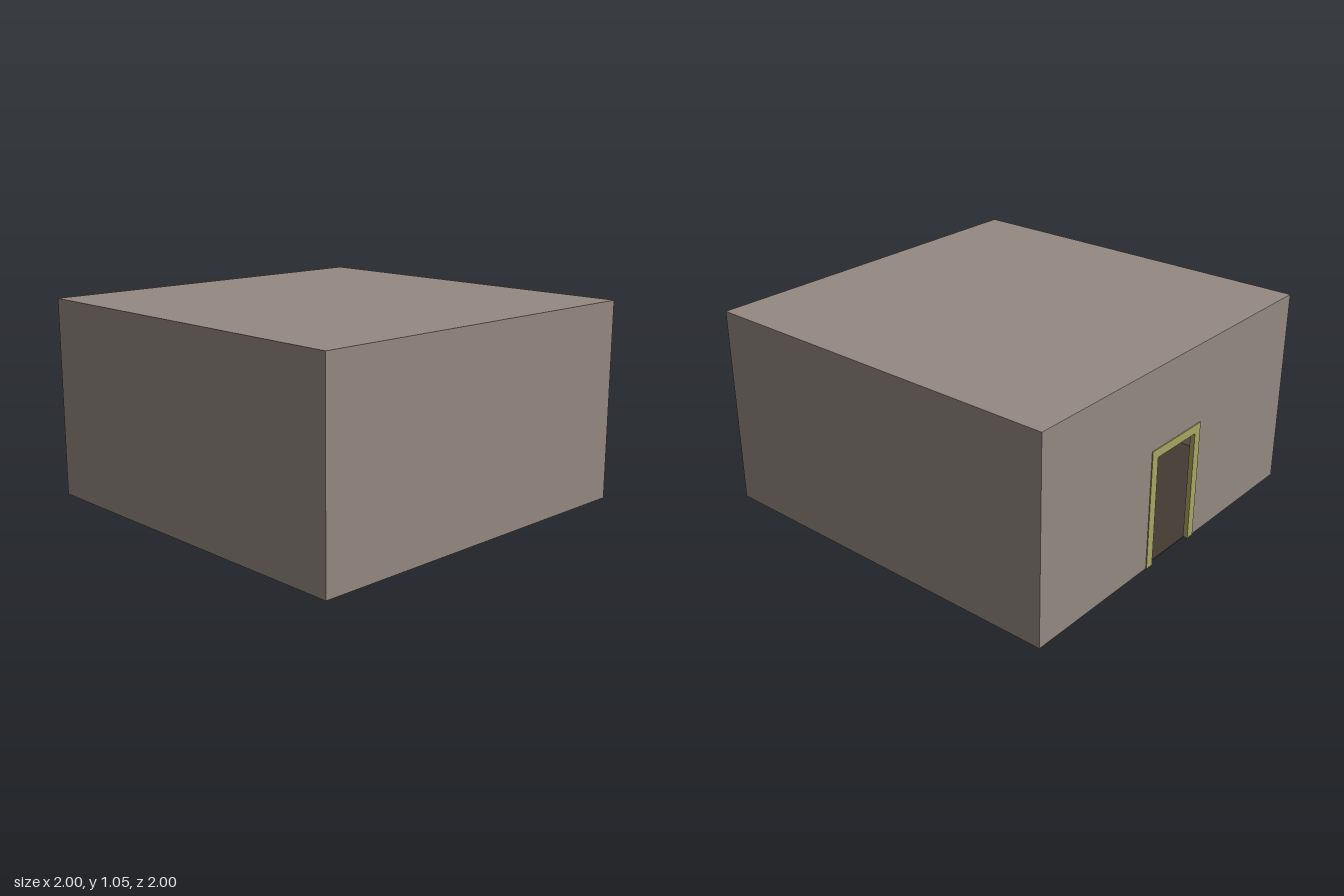
import * as THREE from 'three';

const stone = new THREE.MeshStandardMaterial({ color: 0x968a82 });
const dark = new THREE.MeshStandardMaterial({ color: 0x443a34 });
const wood = new THREE.MeshStandardMaterial({ color: 0x7d675b });
const olive = new THREE.MeshStandardMaterial({ color: 0xaaa764 });

const BASE = 0.005, TOP = 1.05, T = 0.015; // floor underside, wall top, wall thickness

// Box given by its two opposite corners
function box(name, material, [x0, y0, z0], [x1, y1, z1]) {
  const mesh = new THREE.Mesh(new THREE.BoxGeometry(x1 - x0, y1 - y0, z1 - z0), material);
  mesh.name = name;
  mesh.position.set((x0 + x1) / 2, (y0 + y1) / 2, (z0 + z1) / 2);
  return mesh;
}

// Six-sided coffin, head end towards +z before turning
function coffin(name, x, z, turn) {
  const half = [[0.085, -0.385], [0.165, 0.115], [0.13, 0.385]]; // foot, shoulder, head
  const outline = [
    ...half.map(([w, l]) => new THREE.Vector2(w, -l)),
    ...half.slice().reverse().map(([w, l]) => new THREE.Vector2(-w, -l)),
  ];
  const geometry = new THREE.ExtrudeGeometry(new THREE.Shape(outline), { depth: 0.14, bevelEnabled: false });
  geometry.rotateX(-Math.PI / 2);
  const mesh = new THREE.Mesh(geometry, wood);
  mesh.name = name;
  mesh.position.set(x, 0, z);
  mesh.rotation.y = turn;
  return mesh;
}

export function createModel() {
  const room = new THREE.Group();
  room.name = 'room';

  // Floor, roof and the three closed walls
  room.add(box('floor', dark, [-0.985, BASE, -0.98], [0.985, BASE + 0.005, 0.985]));
  room.add(box('roof', stone, [-0.985, TOP - T, -0.98], [0.985, TOP, 0.985]));
  room.add(box('frontWall', stone, [-1, BASE, 1 - T], [1, TOP, 1]));
  for (const s of [-1, 1]) {
    const wall = box(s > 0 ? 'leftWall' : 'rightWall', stone, [-T / 2, BASE, -0.995], [T / 2, TOP, 1 - T]);
    wall.position.x = s * (1 - T / 2);
    room.add(wall);
  }

  // Back wall with the doorway cut out
  const outline = [
    [-0.985, BASE], [-0.16, BASE], [-0.16, 0.59], [0.16, 0.59],
    [0.16, BASE], [0.985, BASE], [0.985, TOP], [-0.985, TOP],
  ].map(([x, y]) => new THREE.Vector2(x, y));
  const backWall = new THREE.Mesh(
    new THREE.ExtrudeGeometry(new THREE.Shape(outline), { depth: T, bevelEnabled: false }), stone);
  backWall.name = 'backWall';
  backWall.position.z = -0.995;
  room.add(backWall);

  // Door frame, slightly proud of both sides of the wall
  const frame = new THREE.Group();
  frame.name = 'doorFrame';
  for (const s of [-1, 1]) {
    const post = box('doorPost', olive, [-0.0225, BASE, -1], [0.0225, 0.59, -0.975]);
    post.position.x = s * 0.1775;
    frame.add(post);
  }
  frame.add(box('doorLintel', olive, [-0.2, 0.59, -1], [0.2, 0.635, -0.975]));
  room.add(frame);

  // Two coffins on the floor
  room.add(coffin('sideCoffin', 0.705, -0.41, 0));
  room.add(coffin('frontCoffin', -0.54, 0.775, -Math.PI / 2));

  return room;
}
